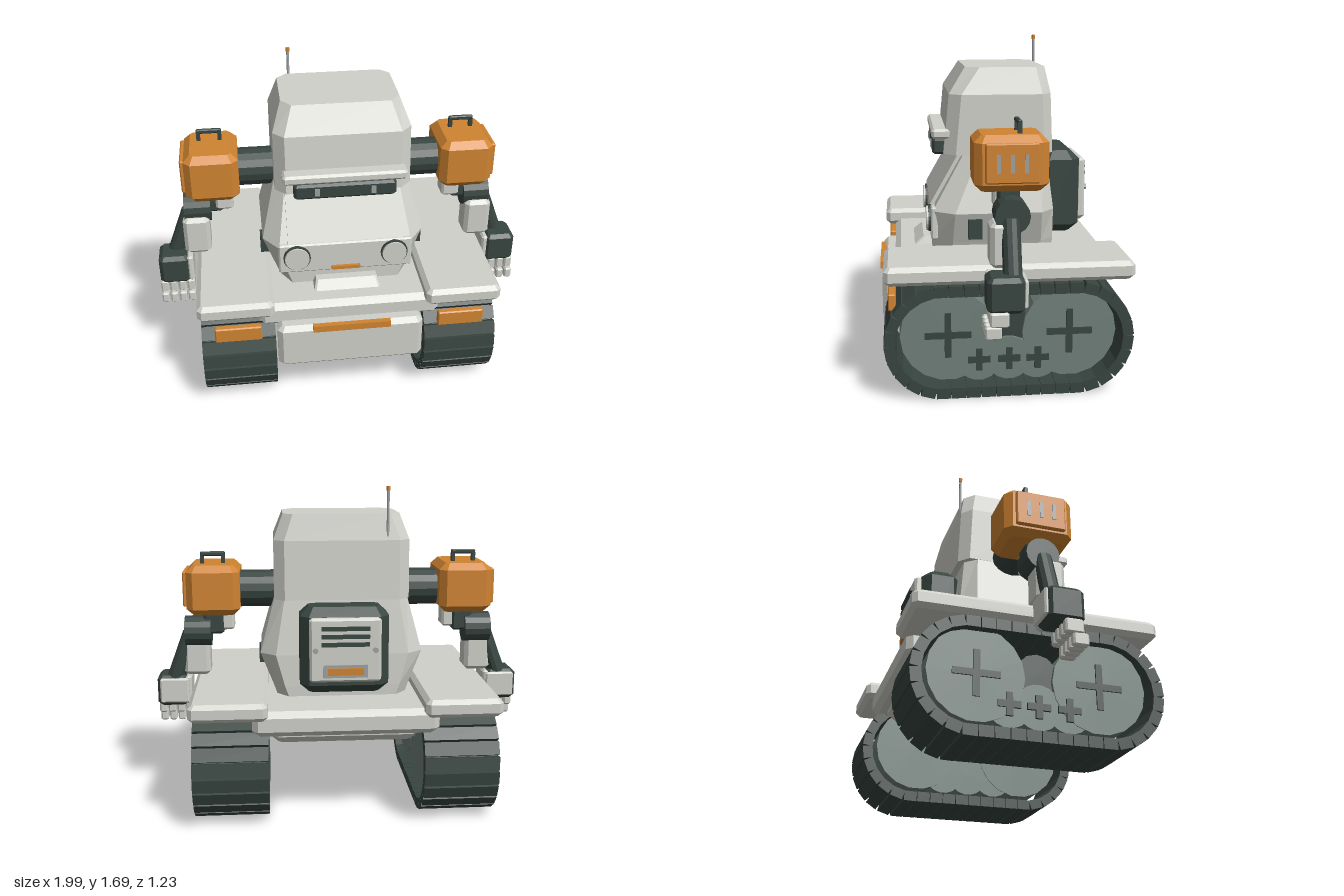
import * as THREE from 'three';

const paint = (name, color) => Object.assign(new THREE.MeshStandardMaterial({ color }), { name });

// Closed solid from octagonal sections: [y, halfWidth, zFront, zBack, cutX, cutFront, cutBack]
function loft(sections) {
  const rings = sections.map(([y, w, f, b, cx, cf, cb = cf]) => [
    [-w + cx, y, f], [w - cx, y, f], [w, y, f - cf], [w, y, b + cb],
    [w - cx, y, b], [-w + cx, y, b], [-w, y, b + cb], [-w, y, f - cf],
  ]);
  const v = [];
  const tri = (...p) => p.forEach((q) => v.push(...q));
  for (let r = 0; r + 1 < rings.length; r++) {
    const a = rings[r], b = rings[r + 1];
    for (let i = 0; i < 8; i++) {
      const j = (i + 1) % 8;
      tri(a[i], a[j], b[j]);
      tri(a[i], b[j], b[i]);
    }
  }
  const lo = rings[0], hi = rings[rings.length - 1];
  for (let i = 1; i < 7; i++) {
    tri(hi[0], hi[i], hi[i + 1]);
    tri(lo[0], lo[i + 1], lo[i]);
  }
  const g = new THREE.BufferGeometry();
  g.setAttribute('position', new THREE.Float32BufferAttribute(v, 3));
  g.computeVertexNormals();
  return g;
}

// Box with every edge chamfered by c
function chamferBox(w, h, d, c) {
  const x = w / 2, y = h / 2, z = d / 2;
  const full = (yy) => [yy, x, z, -z, c, c];
  const inset = (yy) => [yy, x - c, z - c, -z + c, c * 0.5, c * 0.5];
  return loft([inset(-y), full(-y + c), full(y - c), inset(y)]);
}

export function createModel() {
  const root = new THREE.Group();
  root.name = 'trackedRobot';
  const shell = paint('light grey shell', 0xd0d1ca);
  const dark = paint('dark green grey', 0x384540);
  const orange = paint('orange', 0xd08432);
  const wheelGrey = paint('wheel grey green', 0x70807a);
  const steel = paint('steel', 0x9da3a2);

  const add = (name, geo, mat, x = 0, y = 0, z = 0, parent = root) => {
    const m = new THREE.Mesh(geo, mat);
    m.name = name;
    m.position.set(x, y, z);
    parent.add(m);
    return m;
  };
  // Box by its limits, mirrored in x by s, with an optional chamfer
  const box = (name, mat, [x0, x1], [y0, y1], [z0, z1], c = 0, s = 1, parent = root) => {
    const w = x1 - x0, h = y1 - y0, d = z1 - z0;
    const geo = c ? chamferBox(w, h, d, c) : new THREE.BoxGeometry(w, h, d);
    return add(name, geo, mat, (s * (x0 + x1)) / 2, (y0 + y1) / 2, (z0 + z1) / 2, parent);
  };
  const disc = (name, mat, r, len, x, y, z, axis = 'x', n = 16, parent = root) => {
    const g = new THREE.CylinderGeometry(r, r, len, n);
    if (axis === 'x') g.rotateZ(Math.PI / 2);
    if (axis === 'z') g.rotateX(Math.PI / 2);
    mat.flatShading = true;
    return add(name, g, mat, x, y, z, parent);
  };

  // Chassis, deck and bumper
  box('chassisDeck', shell, [-0.47, 0.47], [0.48, 0.61], [-0.57, 0.53], 0.03);
  box('belly', shell, [-0.38, 0.38], [0.42, 0.52], [-0.5, 0.5], 0.04);
  box('frontBumper', shell, [-0.38, 0.375], [0.26, 0.515], [0.49, 0.6], 0.025);
  box('bumperStripe', orange, [-0.2, 0.2], [0.488, 0.525], [0.585, 0.612]);
  add('frontStep', loft([[0.59, 0.18, 0.45, 0.3, 0.01, 0.01], [0.65, 0.16, 0.38, 0.3, 0.01, 0.01]]), shell);

  // Cabin body and head
  add('cabinBody', loft([
    [0.58, 0.33, 0.335, -0.29, 0.06, 0.1, 0.07],
    [0.665, 0.36, 0.335, -0.29, 0.06, 0.1, 0.07],
    [0.83, 0.425, 0.335, -0.285, 0.08, 0.11, 0.07],
    [1.13, 0.345, 0.165, -0.25, 0.05, 0.07, 0.06],
  ]), shell);
  add('head', loft([
    [1.117, 0.35, 0.275, -0.285, 0.055, 0.06, 0.05],
    [1.42, 0.35, 0.245, -0.272, 0.055, 0.06, 0.05],
    [1.552, 0.3, 0.16, -0.245, 0.05, 0.07, 0.05],
  ]), shell);
  box('visorBrow', shell, [-0.315, 0.315], [1.195, 1.245], [0.22, 0.335], 0.012);
  box('visorBand', dark, [-0.26, 0.26], [1.108, 1.19], [0.22, 0.33], 0.012);
  for (const s of [-1, 1]) box('visorSensor', steel, [0.13, 0.155], [1.13, 1.17], [0.325, 0.337], 0, s);
  disc('antenna', steel, 0.007, 0.3, -0.233, 1.53, -0.262, 'y', 8);
  disc('antennaTip', orange, 0.01, 0.022, -0.233, 1.68, -0.262, 'y', 8);

  // Sloped front panel, lamp panel and headlights
  const hood = box('slopedPanel', shell, [-0.3, 0.3], [-0.155, 0.155], [-0.009, 0.009]);
  hood.position.set(0, 0.99, 0.263);
  hood.rotation.x = -Math.atan2(0.17, 0.3);
  box('lampPanel', shell, [-0.35, 0.35], [0.68, 0.85], [0.31, 0.345], 0.008);
  for (const s of [-1, 1]) {
    disc('headlightRing', dark, 0.071, 0.03, s * 0.255, 0.775, 0.342, 'z', 20);
    disc('headlight', shell, 0.064, 0.03, s * 0.255, 0.775, 0.352, 'z', 20);
  }
  box('frontMarker', orange, [-0.075, 0.075], [0.693, 0.712], [0.34, 0.36]);

  // Backpack with rear panel
  box('backpack', dark, [-0.225, 0.225], [0.665, 1.105], [-0.45, -0.24], 0.045);
  box('rearPanel', shell, [-0.18, 0.18], [0.735, 1.06], [-0.485, -0.44], 0.012);
  for (const y of [0.93, 0.97, 1.01]) box('rearVent', dark, [-0.12, 0.12], [y - 0.01, y + 0.01], [-0.497, -0.48]);
  box('rearLightFrame', steel, [-0.11, 0.11], [0.76, 0.825], [-0.49, -0.48]);
  box('rearLight', orange, [-0.09, 0.09], [0.775, 0.81], [-0.5, -0.485]);
  for (const s of [-1, 1]) disc('panelBolt', steel, 0.014, 0.02, s * 0.15, 0.9, -0.487, 'z', 8);

  for (const s of [-1, 1]) {
    const side = new THREE.Group();
    side.name = s > 0 ? 'leftSide' : 'rightSide';
    root.add(side);
    const b = (name, mat, x, y, z, c = 0) => box(name, mat, x, y, z, c, s, side);

    // Fender, lamp and side vent
    b('fender', shell, [0.39, 0.78], [0.575, 0.667], [-0.615, 0.585], 0.022);
    b('fenderLamp', orange, [0.46, 0.7], [0.43, 0.515], [0.53, 0.567], 0.006);
    b('sideVent', dark, [0.38, 0.436], [0.7, 0.8], [0.09, 0.16]);

    // Track: belt of pads around a stadium path
    const R = 0.256, half = 0.32, cy = 0.285, cz = -0.012, arc = Math.PI * R;
    const total = 4 * half + 2 * arc, pads = 40;
    const padGeo = new THREE.BoxGeometry(0.38, 0.053, total / pads - 0.004);
    const linkGeo = new THREE.BoxGeometry(0.36, 0.02, total / pads + 0.006);
    for (let i = 0; i < pads; i++) {
      let d = (i * total) / pads, y, z, a = 0;
      if (d < 2 * half) { z = -half + d; y = R; }
      else if ((d -= 2 * half) < arc) { a = d / R; z = half + R * Math.sin(a); y = R * Math.cos(a); }
      else if ((d -= arc) < 2 * half) { a = Math.PI; z = half - d; y = -R; }
      else { a = Math.PI + (d - 2 * half) / R; z = -half + R * Math.sin(a); y = R * Math.cos(a); }
      add('trackPad', padGeo, dark, s * 0.58, cy + y, cz + z, side).rotation.x = a;
      const k = 1 - 0.012 / R;
      const cz0 = i * total / pads;
      const mid = cz0 < 2 * half || (cz0 >= 2 * half + arc && cz0 < 4 * half + arc) ? z : Math.sign(z) * half + (z - Math.sign(z) * half) * k;
      add('trackLink', linkGeo, dark, s * 0.58, cy + y * k, cz + mid, side).rotation.x = a;
    }

    // Wheels with cross-shaped hubs
    const wheels = [[0.285, 0.31, 0.23, 0.112], [-0.305, 0.31, 0.23, 0.112],
      [0.135, 0.18, 0.11, 0.055], [-0.012, 0.18, 0.11, 0.055], [-0.152, 0.18, 0.11, 0.055]];
    for (const [z, y, r, h] of wheels) {
      const w = r > 0.2 ? 0.3 : 0.29;
      disc('wheel', wheelGrey, r, w, s * 0.575, y, z, 'x', 18, side);
      b('hubBar', dark, [0.715, 0.733], [y - 0.016, y + 0.016], [z - h, z + h]);
      b('hubPost', dark, [0.715, 0.733], [y - h, y + h], [z - 0.016, z + 0.016]);
    }
    disc('trackFrame', dark, 0.1, 0.26, s * 0.575, 0.345, -0.01, 'x', 12, side);

    // Shoulder joint and housing
    disc('shoulderJoint', dark, 0.1, 0.24, s * 0.42, 1.14, -0.01, 'x', 16, side);
    b('shoulderBox', orange, [0.527, 0.806], [1.02, 1.283], [-0.187, 0.16], 0.035);
    b('shoulderPanel', orange, [0.8, 0.825], [1.065, 1.25], [-0.138, 0.112], 0.006);
    for (const z of [0.052, -0.012, -0.076]) b('shoulderSlit', steel, [0.82, 0.829], [1.115, 1.2], [z - 0.009, z + 0.009]);
    b('handleBar', dark, [0.605, 0.735], [1.322, 1.345], [-0.067, -0.045], 0.005);
    for (const x of [0.615, 0.725]) b('handlePost', dark, [x - 0.01, x + 0.01], [1.27, 1.33], [-0.066, -0.046]);

    // Arm
    b('armNeck', shell, [0.565, 0.66], [0.92, 1.03], [-0.05, 0.06], 0.012);
    b('elbowLink', dark, [0.62, 0.73], [0.9, 1.03], [-0.06, 0.045], 0.012);
    disc('elbow', dark, 0.083, 0.14, s * 0.76, 0.912, -0.013, 'x', 16, side);
    b('forearmCover', shell, [0.7, 0.842], [0.67, 0.885], [-0.05, 0.092], 0.02);
    const rod = disc('forearm', dark, 0.045, 0.3, s * 0.855, 0.755, -0.005, 'y', 12, side);
    rod.rotation.z = s * Math.atan2(0.09, 0.24);

    // Hand with four bent fingers
    b('hand', dark, [0.825, 0.99], [0.5, 0.668], [-0.055, 0.12], 0.02);
    b('handInnerPlate', shell, [0.805, 0.838], [0.51, 0.665], [-0.055, 0.115], 0.01);
    b('handBackPlate', shell, [0.82, 0.975], [0.52, 0.655], [-0.068, -0.045], 0.008);
    for (let i = 0; i < 4; i++) {
      const x = 0.828 + i * 0.048;
      b('fingerUpper', shell, [x - 0.021, x + 0.021], [0.44, 0.51], [0.02, 0.108], 0.008);
      b('fingerTip', shell, [x - 0.02, x + 0.02], [0.383, 0.445], [0.055, 0.13], 0.008);
    }
  }
  return root;
}
